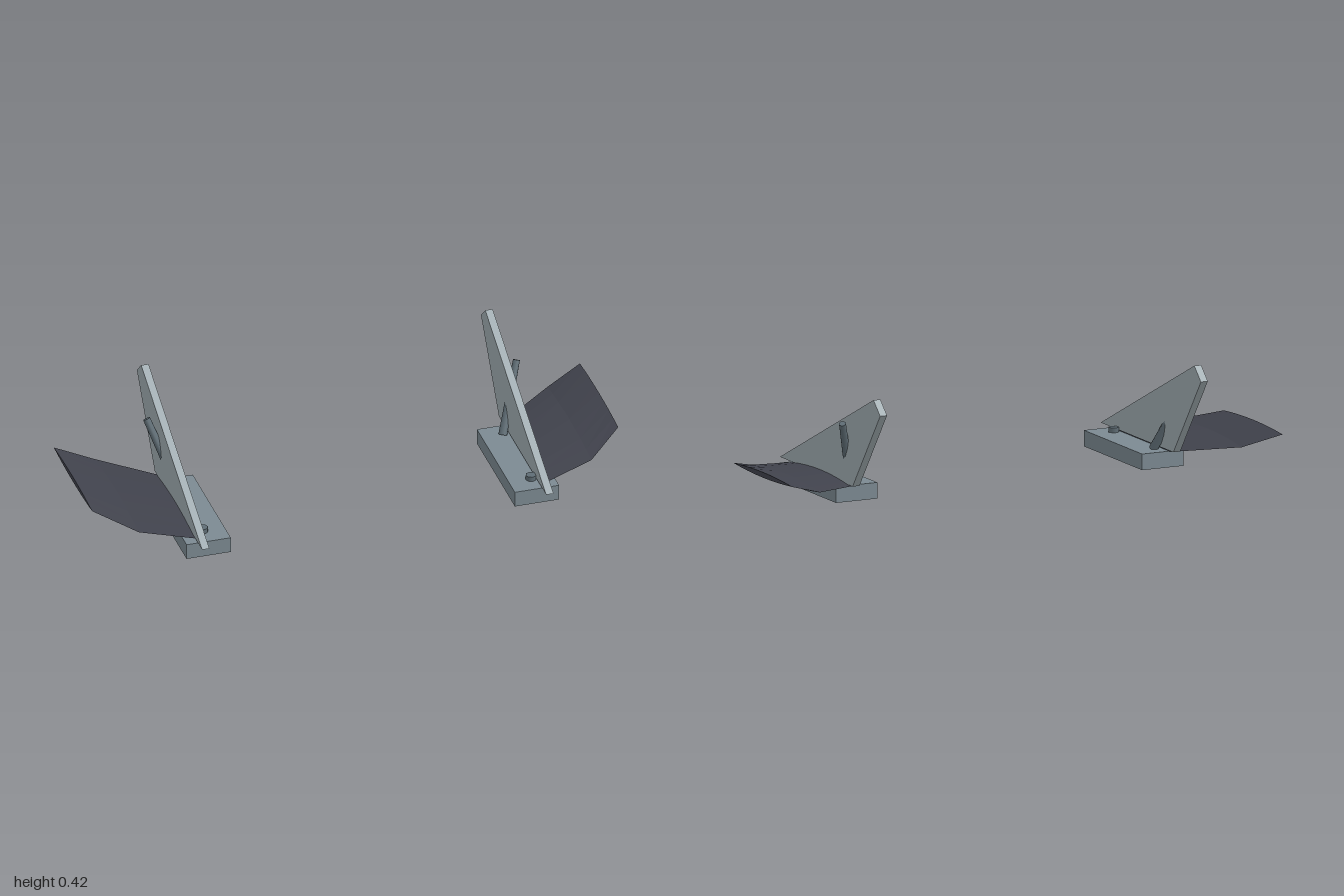
import * as THREE from 'three';

const mat = (name, color) => {
  const m = new THREE.MeshStandardMaterial({ color });
  m.name = name;
  return m;
};

// Lens-section wing lofted through a few stations: [x, front z, back z, edge y, half thickness]
function wingGeometry(side) {
  const stations = [
    [0.65, 0.317, -0.15, 0.062, 0.017],
    [0.86, 0.245, -0.295, 0.086, 0.018],
    [1.0, 0.122, -0.348, 0.13, 0.01],
  ];
  const half = 8, count = half * 2;
  const rings = stations.map(([x, zf, zb, y, t]) => {
    const ring = [];
    for (let i = 0; i < count; i++) {
      const top = i < half;
      const u = top ? i / half : 2 - i / half;
      const bulge = 4 * u * (1 - u) * t * (top ? 1 : -1);
      ring.push([side * x, y + bulge, zf + (zb - zf) * u]);
    }
    return ring;
  });
  const pos = [];
  const tri = (a, b, c) => pos.push(...a, ...(side > 0 ? b : c), ...(side > 0 ? c : b));
  for (let s = 0; s < rings.length - 1; s++) {
    for (let i = 0; i < count; i++) {
      const j = (i + 1) % count;
      const [a, b] = [rings[s], rings[s + 1]];
      tri(a[i], b[i], b[j]);
      tri(a[i], b[j], a[j]);
    }
  }
  // End caps
  const [root, tip] = [rings[0], rings[rings.length - 1]];
  for (let i = 1; i < count - 1; i++) {
    tri(root[0], root[i], root[i + 1]);
    tri(tip[0], tip[i + 1], tip[i]);
  }
  const g = new THREE.BufferGeometry();
  g.setAttribute('position', new THREE.Float32BufferAttribute(pos, 3));
  g.computeVertexNormals();
  return g;
}

// Upright swept plate, drawn in (z, y) and extruded across x
function finGeometry() {
  const shape = new THREE.Shape(
    [[0.4, 0.067], [-0.18, 0.067], [-0.4, 0.37], [-0.347, 0.42]].map(([z, y]) => new THREE.Vector2(-z, y)));
  const g = new THREE.ExtrudeGeometry(shape, { depth: 0.028, bevelEnabled: false });
  g.translate(0, 0, -0.014);
  g.rotateY(Math.PI / 2);
  return g;
}

export function createModel() {
  const model = new THREE.Group();
  model.name = 'wingletPair';
  const baseMat = mat('slate grey', 0x7c8a92);
  const finMat = mat('light grey', 0xa0acb1);
  const wingMat = mat('charcoal', 0x40424c);
  const metalMat = mat('dark steel', 0x5f6d75);

  for (const side of [1, -1]) {
    const group = new THREE.Group();
    group.name = side > 0 ? 'leftWinglet' : 'rightWinglet';
    const add = (name, geometry, material, x = 0, y = 0, z = 0) => {
      const m = new THREE.Mesh(geometry, material);
      m.name = name;
      m.position.set(side * x, y, z);
      group.add(m);
      return m;
    };

    // Mounting block, fin and side wing
    add('mountBlock', new THREE.BoxGeometry(0.168, 0.06, 0.465), baseMat, 0.624, 0.03, 0.106);
    add('fin', finGeometry(), finMat, 0.654);
    add('wing', wingGeometry(side), wingMat);

    // Bolt on the block
    add('bolt', new THREE.CylinderGeometry(0.02, 0.02, 0.022, 8), metalMat, 0.624, 0.067, 0.265);

    // Slanted strut passing through the fin
    const a = new THREE.Vector3(side * 0.618, 0.06, -0.062);
    const b = new THREE.Vector3(side * 0.703, 0.302, -0.168);
    const dir = b.clone().sub(a);
    const strut = add('strut', new THREE.CylinderGeometry(0.0135, 0.017, dir.length(), 8), metalMat);
    strut.position.copy(a).add(b).multiplyScalar(0.5);
    strut.quaternion.setFromUnitVectors(new THREE.Vector3(0, 1, 0), dir.normalize());

    model.add(group);
  }
  return model;
}
